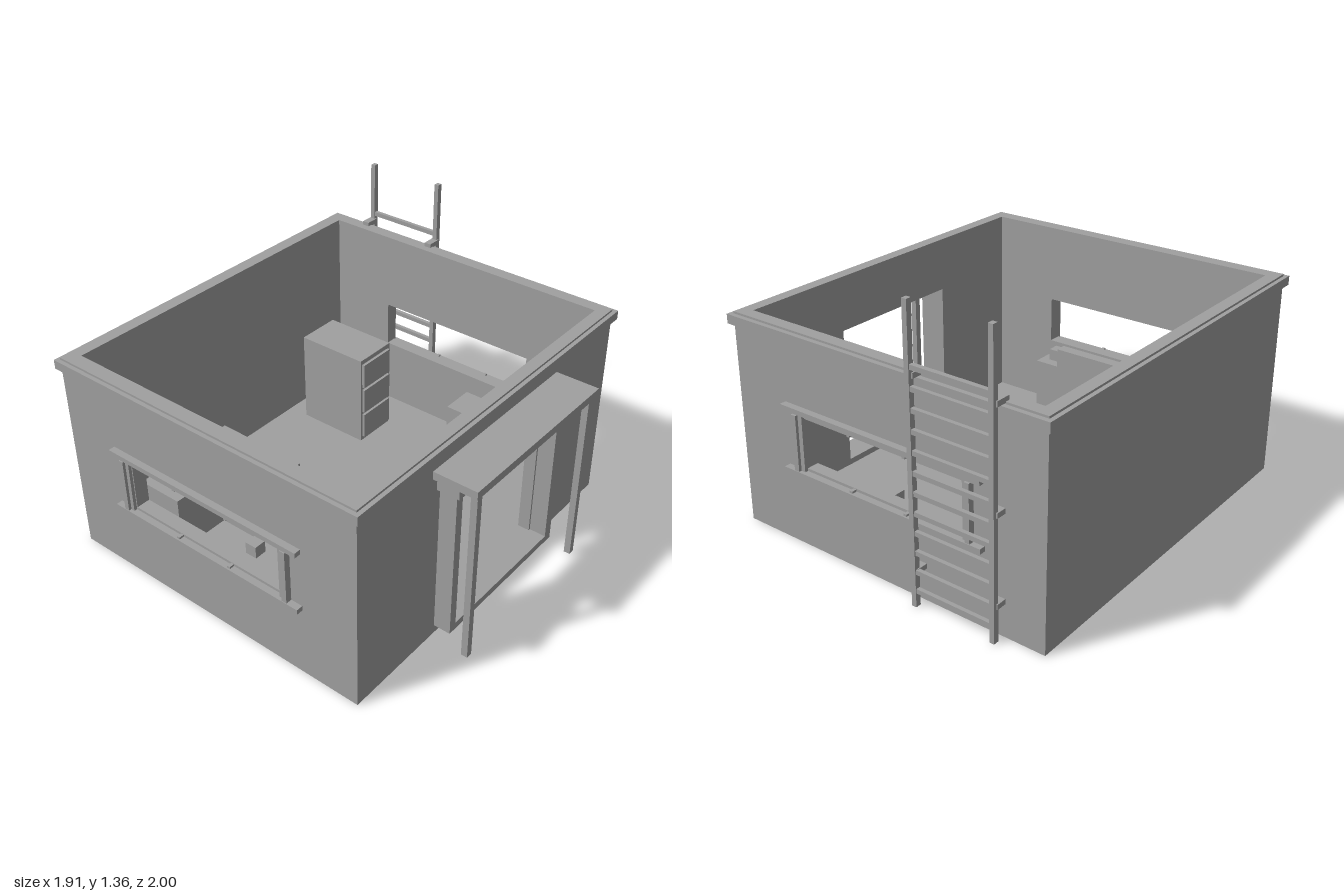
import * as THREE from 'three';

export function createModel() {
  const model = new THREE.Group();
  const concrete = new THREE.MeshStandardMaterial({ color: 0xa0a0a0 });
  concrete.name = 'plain grey';

  // Box given by its limits on each axis
  function box(name, x0, x1, y0, y1, z0, z1, parent = model) {
    const mesh = new THREE.Mesh(new THREE.BoxGeometry(x1 - x0, y1 - y0, z1 - z0), concrete);
    mesh.position.set((x0 + x1) / 2, (y0 + y1) / 2, (z0 + z1) / 2);
    mesh.name = name;
    parent.add(mesh);
    return mesh;
  }

  function rectangle(Type, x0, x1, y0, y1) {
    const r = new Type();
    r.moveTo(x0, y0);
    r.lineTo(x1, y0);
    r.lineTo(x1, y1);
    r.lineTo(x0, y1);
    r.closePath();
    return r;
  }

  // Flat slab with one rectangular hole, drawn in x and y
  function slab(name, outer, hole, depth) {
    const shape = rectangle(THREE.Shape, ...outer);
    shape.holes.push(rectangle(THREE.Path, ...hole));
    const mesh = new THREE.Mesh(new THREE.ExtrudeGeometry(shape, { depth, bevelEnabled: false }), concrete);
    mesh.name = name;
    model.add(mesh);
    return mesh;
  }

  // Walls and floor
  const top = 1.04;
  const windowHole = [-0.54, 0.34, 0.4, 0.64];
  slab('frontWall', [-0.94, 0.74, 0, top], windowHole, 0.07).position.z = 0.897;
  slab('backWall', [-0.94, 0.74, 0, top], windowHole, 0.06).position.z = -0.935;
  box('leftSideWall', -0.94, -0.88, 0, top, -0.875, 0.897);
  const doorWall = slab('doorWall', [-0.897, 0.875, 0, top], [-0.388, 0.343, 0.08, 0.77], 0.06);
  doorWall.rotation.y = Math.PI / 2;
  doorWall.position.x = 0.68;
  box('floor', -0.88, 0.68, 0, 0.05, -0.875, 0.897);

  // Band around the top of the walls
  const band = slab('roofBand', [-0.96, 0.76, -0.987, 0.957], [-0.94, 0.74, -0.967, 0.935], 0.045);
  band.rotation.x = -Math.PI / 2;
  band.position.y = 0.985;

  // Window rails and uprights, front and back
  for (const [name, z, s] of [['frontWindow', 0.967, 1], ['backWindow', -0.935, -1]]) {
    const frame = new THREE.Group();
    frame.name = name;
    model.add(frame);
    const part = (label, x0, x1, y0, y1, d) =>
      box(label, x0, x1, y0, y1, Math.min(z, z + s * d), Math.max(z, z + s * d), frame);
    part('upperRail', -0.645, 0.45, 0.668, 0.692, 0.033);
    part('lowerRail', -0.645, 0.45, 0.363, 0.387, 0.033);
    part('outerUpright', -0.59, -0.565, 0.387, 0.658, 0.03);
    part('outerUpright', 0.363, 0.39, 0.387, 0.658, 0.03);
    part('innerUpright', -0.565, -0.545, 0.387, 0.658, 0.016);
    part('innerUpright', 0.34, 0.363, 0.387, 0.658, 0.016);
    for (const x of [-0.25, 0.055]) {
      part('clip', x - 0.008, x + 0.008, 0.652, 0.668, 0.025);
      part('clip', x - 0.008, x + 0.008, 0.387, 0.397, 0.025);
    }
  }

  // Door frame and porch
  box('doorJamb', 0.74, 0.825, 0.045, 0.82, 0.39, 0.432);
  box('doorJamb', 0.74, 0.825, 0.045, 0.82, -0.4, -0.353);
  box('doorSill', 0.74, 0.825, 0.045, 0.08, -0.353, 0.39);
  box('doorLintel', 0.74, 0.85, 0.82, 0.873, -0.425, 0.455);
  box('canopy', 0.74, 0.955, 0.893, 0.932, -0.453, 0.487);
  box('canopyPost', 0.91, 0.942, 0, 0.893, 0.432, 0.464);
  box('canopyPost', 0.91, 0.942, 0, 0.893, -0.43, -0.4);

  // Ladder on the back wall
  const ladder = new THREE.Group();
  ladder.name = 'ladder';
  model.add(ladder);
  for (const x of [-0.727, -0.32]) {
    box('ladderRail', x - 0.012, x + 0.012, 0, 1.362, -1, -0.973, ladder);
    box('topBracket', x - 0.018, x + 0.018, 1.035, 1.06, -0.985, -0.913, ladder);
    box('lowerBracket', x - 0.018, x + 0.018, 0.158, 0.182, -0.985, -0.935, ladder);
  }
  box('middleBracket', -0.745, -0.709, 0.57, 0.594, -0.985, -0.935, ladder);
  for (let i = 0; i < 12; i++) {
    const y = 1.087 - i * 0.0918;
    box('rung', -0.715, -0.332, y - 0.011, y + 0.011, -0.996, -0.977, ladder);
  }

  // Cabinet with drawers
  box('cabinet', -0.77, -0.38, 0.05, 0.55, -0.68, -0.44);
  for (let i = 0; i < 3; i++) {
    const y = 0.075 + i * 0.155;
    box('drawerFront', -0.38, -0.365, y, y + 0.14, -0.665, -0.452);
  }

  // Other furniture
  box('backChest', 0, 0.35, 0.05, 0.3, -0.87, -0.69);
  box('table', -0.725, -0.485, 0.05, 0.342, 0.24, 0.78);
  const drum = new THREE.Mesh(new THREE.CylinderGeometry(0.073, 0.073, 0.113, 32), concrete);
  drum.name = 'drum';
  drum.position.set(-0.605, 0.3985, 0.51);
  model.add(drum);
  box('partition', -0.485, -0.015, 0.05, 0.59, 0.445, 0.5);
  box('frontBench', -0.035, 0.31, 0.05, 0.345, 0.725, 0.897);
  for (const x of [0.04, 0.235]) box('benchBlock', x - 0.03, x + 0.03, 0.345, 0.405, 0.78, 0.84);

  return model;
}
